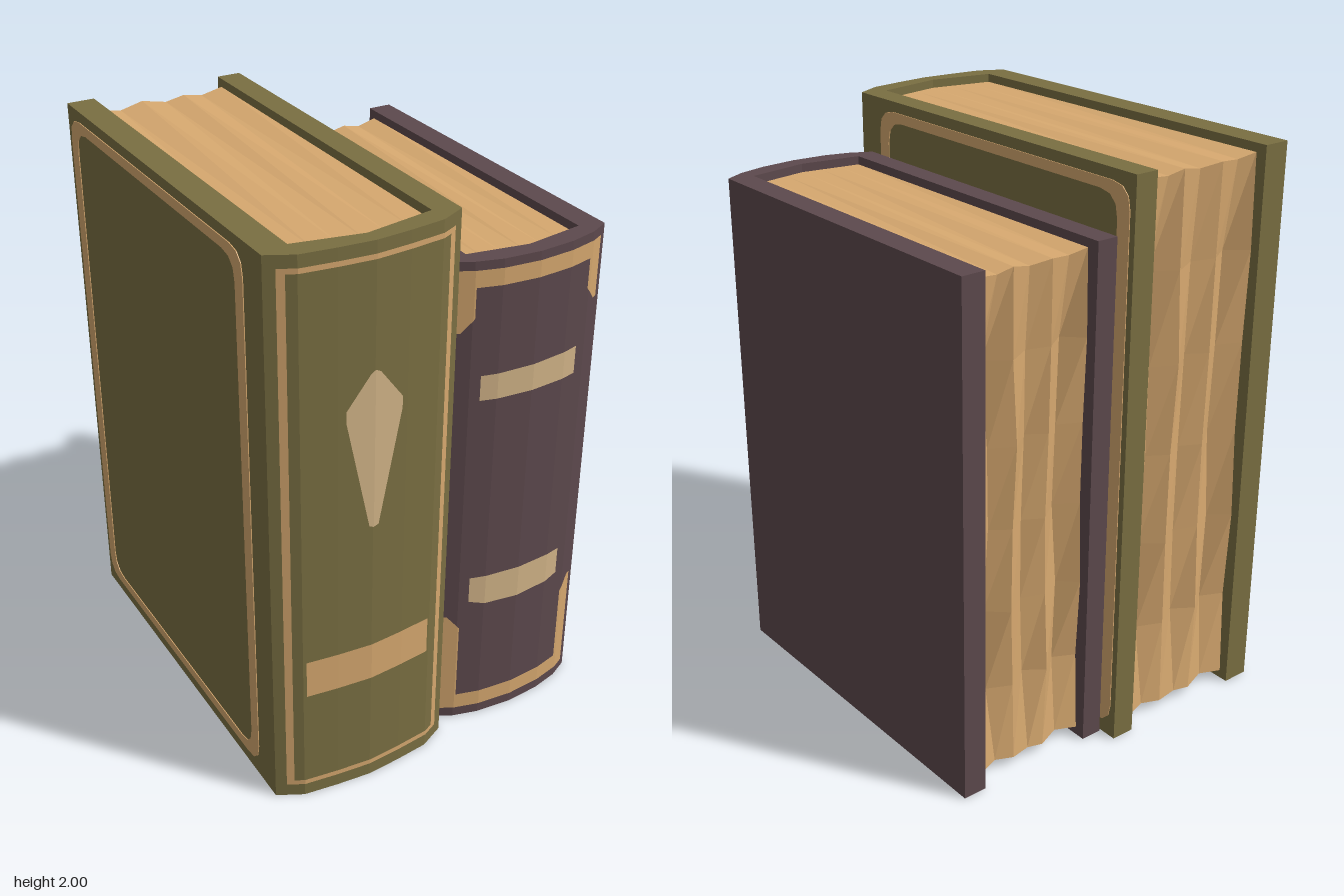
import * as THREE from 'three';

const mat = (name, color) => {
  const m = new THREE.MeshStandardMaterial({ color });
  m.name = name;
  return m;
};

// Height of a polyline of [x, z] points at x
function along(line, x) {
  for (let i = 1; i < line.length; i++) {
    const [x0, z0] = line[i - 1], [x1, z1] = line[i];
    if (x <= x1 || i === line.length - 1) return z0 + ((z1 - z0) * (x - x0)) / (x1 - x0);
  }
}

// Cover boards and curved spine: a U-shaped outline raised along y
function coverGeometry(outer, inner, back, height) {
  const pts = [[outer[0][0], back], ...outer, [outer.at(-1)[0], back],
    [inner.at(-1)[0], back], ...[...inner].reverse(), [inner[0][0], back]];
  const shape = new THREE.Shape(pts.map(([x, z]) => new THREE.Vector2(x, -z)));
  return new THREE.ExtrudeGeometry(shape, { depth: height, bevelEnabled: false }).rotateX(-Math.PI / 2);
}

// Page block: a box with its front following the spine and its back folded into grooves
function pagesGeometry(inner, back, height) {
  const x0 = inner[0][0], x1 = inner.at(-1)[0], w = x1 - x0, h = height - 0.06;
  const geo = new THREE.BoxGeometry(w, h, 1, 6, 6, 1).translate((x0 + x1) / 2, height / 2, 0);
  const groove = [0.01, 0.06, 0.012, 0.05, 0.005, 0.055, 0.015];
  const p = geo.attributes.position;
  for (let i = 0; i < p.count; i++) {
    const x = p.getX(i), y = p.getY(i);
    const col = Math.round(((x - x0) / w) * 6), row = Math.round(((y - 0.03) / h) * 6);
    if (p.getZ(i) > 0) {
      p.setZ(i, along(inner, x) + 0.004);
    } else {
      const end = row === 0 || row === 6;
      p.setZ(i, back + groove[col] * (end ? 0.25 : 1) + 0.008 * Math.sin(row * 2.3 + col * 1.7));
      if (col > 0 && col < 6) p.setX(i, x + 0.012 * Math.sin(row * 1.9 + col));
      if (row === 6) p.setY(i, y - 0.012 * (col % 2));
      if (row === 0) p.setY(i, y + 0.012 * (col % 2));
    }
  }
  const flat = geo.toNonIndexed();
  flat.computeVertexNormals();
  return flat;
}

// Painted strip that follows the spine, from columns [x, low y, high y]
function stripGeometry(outer, cols) {
  const first = cols[0][0], last = cols.at(-1)[0];
  const xs = [...new Set([...cols.map(c => c[0]), ...outer.map(o => o[0]).filter(x => x > first && x < last)])];
  xs.sort((a, b) => a - b);
  const low = cols.map(c => [c[0], c[1]]), high = cols.map(c => [c[0], c[2]]);
  const verts = [];
  for (let i = 1; i < xs.length; i++) {
    const [a, b] = [xs[i - 1], xs[i]];
    const pt = (x, line) => [x, along(line, x), along(outer, x) + 0.004];
    verts.push(...pt(a, low), ...pt(b, low), ...pt(b, high), ...pt(a, low), ...pt(b, high), ...pt(a, high));
  }
  const geo = new THREE.BufferGeometry();
  geo.setAttribute('position', new THREE.Float32BufferAttribute(verts, 3));
  geo.computeVertexNormals();
  return geo;
}

// Rectangle with rounded corners
function rounded(Type, x0, y0, x1, y1, r) {
  const s = new Type();
  s.moveTo(x0 + r, y0).lineTo(x1 - r, y0).quadraticCurveTo(x1, y0, x1, y0 + r);
  s.lineTo(x1, y1 - r).quadraticCurveTo(x1, y1, x1 - r, y1);
  s.lineTo(x0 + r, y1).quadraticCurveTo(x0, y1, x0, y1 - r);
  s.lineTo(x0, y0 + r).quadraticCurveTo(x0, y0, x0 + r, y0);
  return s;
}

export function createModel() {
  const green = mat('olive cover', 0x7a6f42);
  const purple = mat('plum cover', 0x5d494d);
  const gold = mat('gold paper', 0xd6a86f);
  const tan = mat('pale tan', 0xd2b488);

  const model = new THREE.Group();
  model.name = 'books';

  function makeBook(name, { outer, inner, back, pageBack, height, cover }) {
    const book = new THREE.Group();
    book.name = name;
    model.add(book);
    const add = (part, geo, material) => {
      const mesh = new THREE.Mesh(geo, material);
      mesh.name = part;
      book.add(mesh);
      return mesh;
    };
    add('cover', coverGeometry(outer, inner, back, height), cover);
    add('pages', pagesGeometry(inner, pageBack, height), gold);
    return { add, strip: (part, cols, material) => add(part, stripGeometry(outer, cols), material) };
  }

  // Tall olive book
  const tall = makeBook('tallBook', {
    outer: [[-0.627, 0.68], [-0.54, 0.725], [-0.42, 0.74], [-0.3, 0.75], [-0.18, 0.74], [-0.06, 0.725], [0.03, 0.68]],
    inner: [[-0.53, 0.65], [-0.3, 0.695], [-0.055, 0.65]],
    back: -0.75, pageBack: -0.72, height: 2, cover: green,
  });
  // Spine frame
  tall.strip('spineFrameLeft', [[-0.595, 0.05, 1.96], [-0.572, 0.05, 1.96]], gold);
  tall.strip('spineFrameRight', [[-0.027, 0.05, 1.96], [-0.004, 0.05, 1.96]], gold);
  tall.strip('spineFrameTop', [[-0.572, 1.943, 1.96], [-0.027, 1.943, 1.96]], gold);
  tall.strip('spineFrameBottom', [[-0.572, 0.05, 0.068], [-0.027, 0.05, 0.068]], gold);
  // Label and diamond
  tall.strip('spineLabel', [[-0.53, 0.43, 0.57], [-0.07, 0.43, 0.57]], gold);
  tall.strip('spineDiamond', [[-0.395, 1.43, 1.47], [-0.315, 1.04, 1.58], [-0.3, 1.035, 1.59],
    [-0.282, 1.04, 1.58], [-0.2, 1.43, 1.47]], tan);
  // Rounded frames on both boards
  for (const [side, x] of [['left', 0.03], ['right', -0.63]]) {
    const frame = rounded(THREE.Shape, -0.565, 0.045, 0.728, 1.963, 0.08);
    frame.holes.push(rounded(THREE.Path, -0.515, 0.082, 0.675, 1.928, 0.08));
    const geo = new THREE.ExtrudeGeometry(frame, { depth: 0.003, bevelEnabled: false, curveSegments: 3 });
    tall.add(side + 'BoardFrame', geo.rotateY(Math.PI / 2).translate(x, 0, 0), gold);
  }

  // Short plum book
  const short = makeBook('shortBook', {
    outer: [[0.038, 0.612], [0.11, 0.65], [0.2, 0.675], [0.33, 0.686], [0.46, 0.675], [0.56, 0.65], [0.63, 0.614]],
    inner: [[0.115, 0.59], [0.33, 0.625], [0.545, 0.59]],
    back: -0.685, pageBack: -0.65, height: 1.797, cover: purple,
  });
  // Corner brackets: a bar with two slanted legs
  for (const [part, bar, inside, outside] of [['top', [1.71, 1.768], 1.605, 1.555], ['bottom', [0.04, 0.1], 0.4, 0.45]]) {
    const leg = y => (part === 'top' ? [y, bar[0]] : [bar[1], y]);
    short.strip(part + 'BracketBar', [[0.058, ...bar], [0.605, ...bar]], gold);
    short.strip(part + 'BracketLeft', [[0.058, ...leg(outside)], [0.075, ...leg(outside)], [0.115, ...leg(inside)]], gold);
    short.strip(part + 'BracketRight', [[0.548, ...leg(inside)], [0.588, ...leg(outside)], [0.605, ...leg(outside)]], gold);
  }
  // Pale bands
  short.strip('upperBand', [[0.143, 1.31, 1.4], [0.515, 1.31, 1.41]], tan);
  short.strip('lowerBand', [[0.143, 0.51, 0.61], [0.2, 0.493, 0.61], [0.33, 0.486, 0.608], [0.46, 0.49, 0.607], [0.515, 0.5, 0.605]], tan);

  return model;
}
